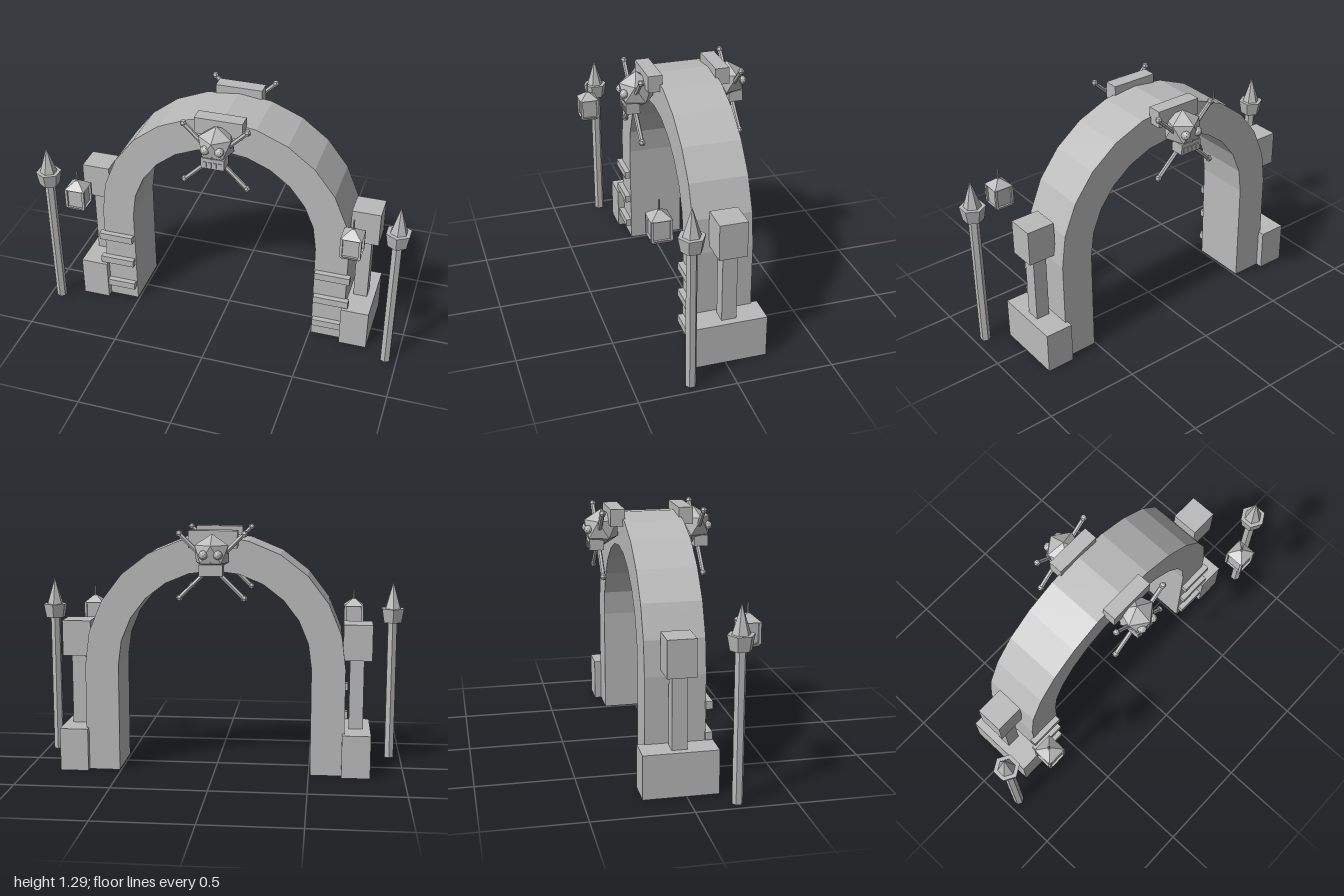
import * as THREE from 'three';

export function createModel() {
  const root = new THREE.Group();
  const stone = new THREE.MeshStandardMaterial({ color: 0xbbbbbb, flatShading: true });
  stone.name = 'grey stone';

  const add = (parent, name, geo, x = 0, y = 0, z = 0) => {
    const m = new THREE.Mesh(geo, stone);
    m.name = name;
    m.position.set(x, y, z);
    parent.add(m);
    return m;
  };
  // box given by its limits
  const box = (parent, name, x0, x1, y0, y1, z0, z1) =>
    add(parent, name, new THREE.BoxGeometry(Math.abs(x1 - x0), y1 - y0, z1 - z0),
      (x0 + x1) / 2, (y0 + y1) / 2, (z0 + z1) / 2);
  // prism, cone or frustum standing between two heights
  const prism = (parent, name, rTop, rBottom, y0, y1, sides, x, z, turn = 0) =>
    add(parent, name, new THREE.CylinderGeometry(rTop, rBottom, y1 - y0, sides).rotateY(turn), x, (y0 + y1) / 2, z);

  // arch: two legs joined by a twelve-sided half ring
  const springY = 0.57, outer = 0.685, inner = 0.508, steps = 12;
  const pts = [new THREE.Vector2(outer, 0)];
  for (let i = 0; i <= steps; i++) {
    const a = Math.PI * i / steps;
    pts.push(new THREE.Vector2(outer * Math.cos(a), springY + outer * Math.sin(a)));
  }
  pts.push(new THREE.Vector2(-outer, 0), new THREE.Vector2(-inner, 0));
  for (let i = steps; i >= 0; i--) {
    const a = Math.PI * i / steps;
    pts.push(new THREE.Vector2(inner * Math.cos(a), springY + inner * Math.sin(a)));
  }
  pts.push(new THREE.Vector2(inner, 0));
  add(root, 'arch', new THREE.ExtrudeGeometry(new THREE.Shape(pts), { depth: 0.305, bevelEnabled: false }), 0, 0, -0.18);

  for (const s of [-1, 1]) {
    // plinth, pillar and capital beside each leg
    box(root, 'plinth', s * 0.672, s * 0.822, 0, 0.228, -0.217, 0.163);
    box(root, 'pillar', s * 0.708, s * 0.783, 0.228, 0.603, -0.066, 0.011);
    box(root, 'capital', s * 0.672, s * 0.824, 0.603, 0.793, -0.1, 0.045);

    // slats across the front of the leg
    for (const y of [0.097, 0.256, 0.415]) box(root, 'slat', s * 0.515, s * 0.705, y - 0.02, y + 0.02, 0.12, 0.155);

    // lamp post with a flared head and a pointed top
    const post = new THREE.Group();
    post.name = 'lampPost';
    prism(post, 'pole', 0.028, 0.028, 0, 0.77, 6, s * 0.94, 0.22);
    prism(post, 'lampHead', 0.068, 0.054, 0.762, 0.838, 6, s * 0.94, 0.22);
    prism(post, 'spire', 0, 0.046, 0.838, 0.985, 6, s * 0.94, 0.22);
    root.add(post);

    // hanging lantern
    const lantern = new THREE.Group();
    lantern.name = 'lantern';
    lantern.position.set(s * 0.73, 0, 0.313);
    box(lantern, 'lanternGlass', -0.042, 0.042, 0.728, 0.84, -0.042, 0.042);
    for (const i of [-1, 1]) for (const j of [-1, 1])
      box(lantern, 'lanternCorner', i * 0.04, i * 0.053, 0.735, 0.842, j * 0.0465 - 0.0065, j * 0.0465 + 0.0065);
    const quarter = Math.PI / 4, diag = Math.SQRT2;
    prism(lantern, 'lanternFoot', 0.053 * diag, 0.044 * diag, 0.72, 0.738, 4, 0, 0, quarter);
    prism(lantern, 'lanternRoof', 0.008 * diag, 0.054 * diag, 0.84, 0.878, 4, 0, 0, quarter);
    prism(lantern, 'hanger', 0.005, 0.005, 0.87, 0.93, 6, 0, 0);
    root.add(lantern);
  }

  // plaque, skull and crossed bones, once on each face of the arch
  for (const back of [false, true]) {
    const emblem = new THREE.Group();
    emblem.name = back ? 'backEmblem' : 'frontEmblem';
    if (back) { emblem.rotation.y = Math.PI; emblem.position.z = -0.055; }
    box(emblem, 'plaque', -0.125, 0.125, 1.2, 1.288, 0.113, 0.188);
    // faceted head with one corner pointing up
    const tilt = -Math.atan((1 + Math.sqrt(5)) / 2);
    add(emblem, 'skull', new THREE.IcosahedronGeometry(0.1, 0).rotateX(tilt), 0, 1.175, 0.217);
    box(emblem, 'jaw', -0.06, 0.06, 1.067, 1.125, 0.213, 0.287);
    for (let i = -1.5; i <= 1.5; i++)
      box(emblem, 'tooth', i * 0.026 - 0.009, i * 0.026 + 0.009, 1.075, 1.105, 0.285, 0.291);
    const nose = new THREE.ConeGeometry(0.012, 0.025, 3);
    add(emblem, 'nose', nose, 0, 1.14, 0.287);
    for (const s of [-1, 1]) {
      add(emblem, 'eye', new THREE.IcosahedronGeometry(0.024, 1), s * 0.037, 1.173, 0.289);
      // bone with a knob at each end
      const a = new THREE.Vector3(s * 0.165, 1.276, 0.235), b = new THREE.Vector3(-s * 0.165, 0.95, 0.235);
      const dir = b.clone().sub(a), mid = a.clone().add(b).multiplyScalar(0.5);
      const bone = add(emblem, 'bone', new THREE.CylinderGeometry(0.012, 0.012, dir.length(), 6), mid.x, mid.y, mid.z);
      bone.quaternion.setFromUnitVectors(new THREE.Vector3(0, 1, 0), dir.normalize());
      for (const p of [a, b]) add(emblem, 'boneKnob', new THREE.SphereGeometry(0.018, 6, 4), p.x, p.y, p.z);
    }
    root.add(emblem);
  }
  return root;
}
